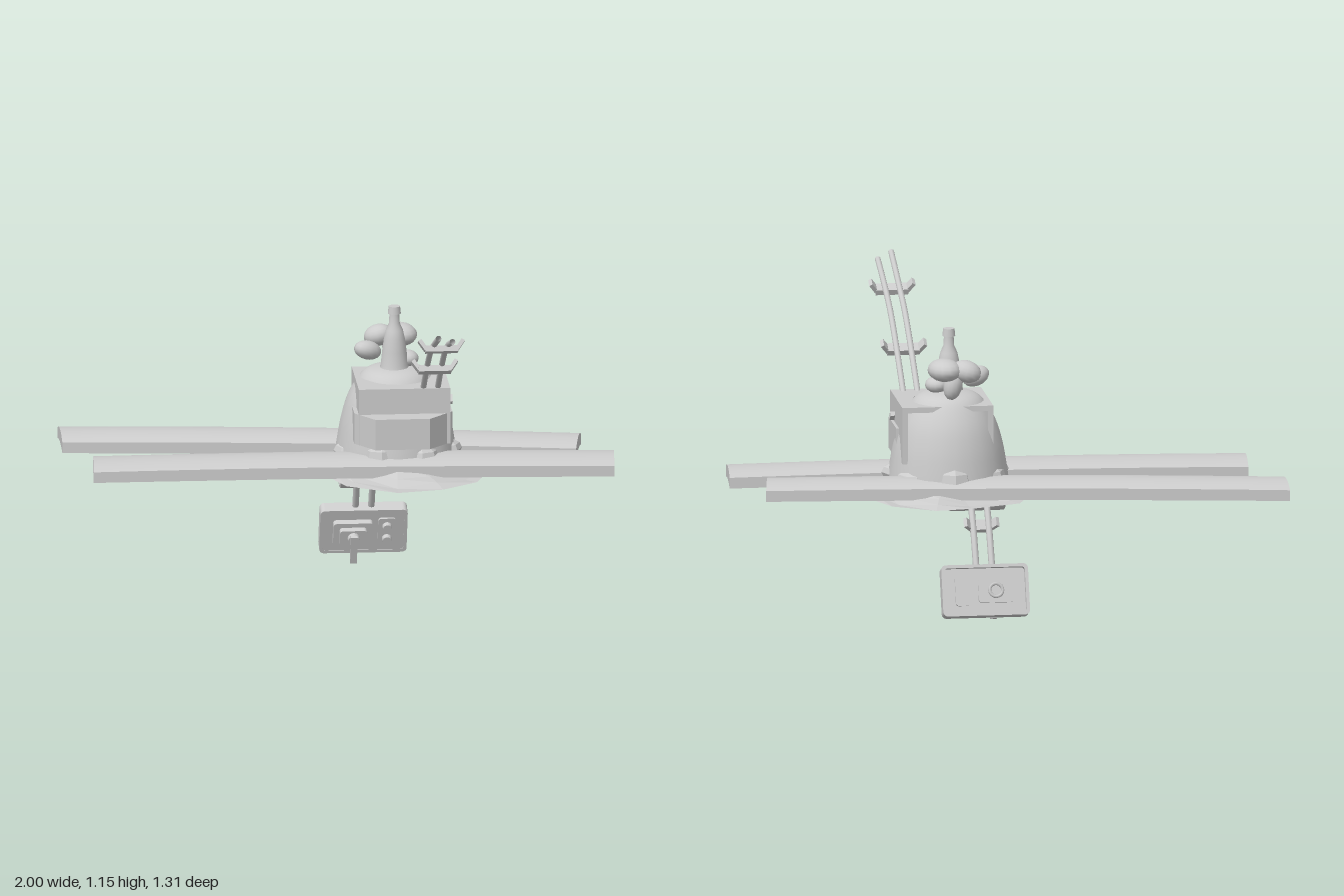
import * as THREE from 'three';

const mat = new THREE.MeshStandardMaterial({ color: 0xcccccc, side: THREE.DoubleSide });
const flat = new THREE.MeshStandardMaterial({ color: 0xcccccc, side: THREE.DoubleSide, flatShading: true });

export function createModel() {
  const model = new THREE.Group();
  const add = (name, geo, x = 0, y = 0, z = 0, parent = model, m = mat) => {
    const mesh = new THREE.Mesh(geo, m);
    mesh.name = name;
    mesh.position.set(x, y, z);
    parent.add(mesh);
    return mesh;
  };
  const box = (name, w, h, d, x, y, z, parent) => add(name, new THREE.BoxGeometry(w, h, d), x, y, z, parent);
  const pts2 = list => list.map(p => new THREE.Vector2(...p));
  const group = (name, x, y, z, rx) => {
    const g = new THREE.Group();
    g.name = name;
    g.position.set(x, y, z);
    g.rotation.x = rx;
    model.add(g);
    return g;
  };

  // Curved planks: a segmented box mapped onto four ground corners (back pair, front pair)
  const plank = (name, [bl, br, fl, fr]) => {
    const geo = new THREE.BoxGeometry(1, 1, 1, 10, 1, 8);
    const p = geo.attributes.position;
    const mix = THREE.MathUtils.lerp;
    for (let i = 0; i < p.count; i++) {
      const u = p.getX(i) + 0.5, v = p.getZ(i) + 0.5, top = p.getY(i) > 0;
      const arch = 0.022 * (1 - (2 * v - 1) ** 2) + 0.008 * (1 - (2 * u - 1) ** 2);
      const y = top ? 0.5 + arch : 0.46 + arch * 0.6;
      p.setXYZ(i, mix(mix(bl[0], br[0], u), mix(fl[0], fr[0], u), v), y,
        mix(mix(bl[1], br[1], u), mix(fl[1], fr[1], u), v));
    }
    geo.computeVertexNormals();
    add(name, geo);
  };
  plank('backPlank', [[-1, -0.66], [0.9, -0.415], [-1, -0.44], [0.865, -0.205]]);
  plank('frontPlank', [[-0.905, -0.23], [1, -0.165], [-0.92, -0.01], [0.985, 0.05]]);

  // Ragged skirt: rings blended from the body circle to an uneven rim
  const rim = [[0.57, -0.2], [0.48, 0.06], [0.35, 0.155], [0.18, 0.19], [0, 0.08], [-0.06, -0.07],
    [-0.115, -0.21], [-0.09, -0.36], [-0.02, -0.53], [0.165, -0.6], [0.3, -0.62], [0.45, -0.52], [0.53, -0.34]];
  const verts = [], index = [], n = rim.length, rings = 4;
  for (let r = 0; r <= rings; r++) rim.forEach(([x, z], i) => {
    const t = r / rings, a = Math.atan2(z + 0.24, x - 0.21);
    const bump = r > 0 && r < rings ? 0.008 * Math.sin(i * 2.4 + r) : 0;
    verts.push(THREE.MathUtils.lerp(0.21 + 0.18 * Math.cos(a), x, t),
      0.452 + 0.068 * (1 - t) ** 2 + bump,
      THREE.MathUtils.lerp(-0.24 + 0.18 * Math.sin(a), z, t));
    if (r < rings) {
      const j = (i + 1) % n, o = r * n;
      index.push(o + i, o + j, o + n + i, o + j, o + n + j, o + n + i);
    }
  });
  const skirt = new THREE.BufferGeometry();
  skirt.setAttribute('position', new THREE.Float32BufferAttribute(verts, 3));
  skirt.setIndex(index);
  skirt.computeVertexNormals();
  add('raggedSkirt', skirt, 0, 0, 0, model, flat);

  // Rounded body with a raised collar
  add('domedBody', new THREE.LatheGeometry(new THREE.SplineCurve(pts2([[0.225, 0.48], [0.215, 0.55], [0.2, 0.63],
    [0.175, 0.71], [0.135, 0.78], [0.1, 0.81], [0.05, 0.822], [0.001, 0.825]])).getPoints(28), 24), 0.205, 0, -0.24);
  for (let i = 0; i < 7; i++) {
    const a = i * 0.9 + 0.2;
    const lump = add('baseLump', new THREE.SphereGeometry(0.07, 8, 6), 0.21 + 0.17 * Math.cos(a), 0.515,
      -0.24 + 0.17 * Math.sin(a), model, flat);
    lump.scale.set(1, 0.55 + 0.2 * (i % 3), 1);
  }

  // Open-backed casing around the body
  box('casingFront', 0.335, 0.21, 0.02, 0.2225, 0.68, -0.045);
  for (const x of [0.065, 0.38]) box('casingSide', 0.02, 0.21, 0.33, x, 0.68, -0.2);
  const roof = new THREE.Shape(pts2([[0.055, 0.035], [0.39, 0.035], [0.39, 0.365], [0.055, 0.365]]));
  roof.holes.push(new THREE.Path().absarc(0.21, 0.215, 0.12, 0, Math.PI * 2, true));
  add('casingRoof', new THREE.ExtrudeGeometry(roof, { depth: 0.02, bevelEnabled: false }), 0, 0.765, 0)
    .rotation.x = -Math.PI / 2;

  // Chamfered band across the front of the casing
  const band = new THREE.Shape(pts2([[0.04, 0.27], [0.04, 0.06], [0.11, -0.04], [0.31, -0.04], [0.4, 0.06],
    [0.4, 0.27], [0.375, 0.27], [0.375, 0.04], [0.065, 0.04], [0.065, 0.27]]));
  add('frontBand', new THREE.ExtrudeGeometry(band, { depth: 0.115, bevelEnabled: false }), 0, 0.575, 0)
    .rotation.x = -Math.PI / 2;
  box('sidePeg', 0.02, 0.018, 0.032, 0.397, 0.712, -0.15).rotation.x = 0.7;

  // Bottle
  add('bottle', new THREE.LatheGeometry(pts2([[0.06, 0.8], [0.05, 0.83], [0.045, 0.88], [0.038, 0.93], [0.031, 0.96],
    [0.02, 0.985], [0.018, 1.02]]), 20), 0.2, 0, -0.225);
  add('bottleCap', new THREE.CylinderGeometry(0.021, 0.024, 0.028, 16), 0.2, 1.035, -0.225);

  // Cluster of leaf-like lobes: position, radii, turn
  for (const [x, y, z, a, b, c, ry, rz] of [
    [0.23, 0.915, -0.33, 0.06, 0.042, 0.072, 0.35, 0],
    [0.15, 0.91, -0.34, 0.055, 0.04, 0.05, -0.4, 0.3],
    [0.105, 0.875, -0.26, 0.055, 0.035, 0.04, 0.5, -0.3],
    [0.2, 0.86, -0.34, 0.035, 0.055, 0.035, 0, 0.2],
    [0.25, 0.845, -0.25, 0.04, 0.03, 0.045, 0.4, 0]]) {
    const lobe = add('lobe', new THREE.SphereGeometry(1, 14, 10), x, y, z);
    lobe.scale.set(a, b, c);
    lobe.rotation.set(0, ry, rz);
  }

  // Twin rods in front and behind
  const rod = (name, x, path, r) => add(name, new THREE.TubeGeometry(new THREE.CatmullRomCurve3(
    path.map(([z, y]) => new THREE.Vector3(x, y, z))), 20, r, 8), 0, 0, 0);
  const tips = [[0.645, 1.155], [0.62, 1.135]];
  [0.293, 0.346].forEach((x, i) => rod('upperRod', x,
    [tips[i], [0.435, 1.075], [0.28, 1.01], [0.125, 0.915], [-0.08, 0.765], [-0.15, 0.7]], 0.011));
  for (const x of [0.08, 0.138]) rod('lowerRod', x, [[-0.24, 0.52], [-0.34, 0.45], [-0.43, 0.345], [-0.51, 0.215]], 0.012);

  // Clips holding the rod pairs, with splayed prongs
  const clip = (x, y, z, rx, w) => {
    const g = group('rodClip', x, y, z, rx);
    box('clipBar', w, 0.022, 0.042, 0, -0.012, 0, g);
    for (const s of [-1, 1]) box('clipProng', 0.014, 0.042, 0.035, s * (w / 2 + 0.008), 0.004, 0, g).rotation.z = -s * 0.6;
  };
  clip(0.32, 1.07, 0.435, -0.45, 0.12);
  clip(0.32, 0.91, 0.125, -0.55, 0.12);
  clip(0.109, 0.355, -0.425, -0.9, 0.08);

  // Drum below the body
  const drum = add('underDrum', new THREE.CylinderGeometry(0.09, 0.09, 0.2, 24), 0.1, 0.457, -0.225);
  drum.rotation.z = Math.PI / 2;
  for (const x of [0.005, 0.195]) add('drumRim', new THREE.TorusGeometry(0.082, 0.008, 6, 24), x, 0.457, -0.225)
    .rotation.y = Math.PI / 2;
  box('drumBracket', 0.15, 0.04, 0.12, 0.27, 0.455, -0.225).rotation.z = 0.25;

  // Hanging control box, hollow at the back
  const panel = group('controlBox', 0.11, 0.13, -0.537, 0.37);
  const rounded = (path, w, h, r) => {
    path.moveTo(-w + r, -h);
    for (const [sx, sy, a] of [[1, -1, -0.5], [1, 1, 0], [-1, 1, 0.5], [-1, -1, 1]])
      path.absarc(sx * (w - r), sy * (h - r), r, a * Math.PI, (a + 0.5) * Math.PI, false);
    return path;
  };
  const rimShape = rounded(new THREE.Shape(), 0.16, 0.095, 0.018);
  rimShape.holes.push(rounded(new THREE.Path(), 0.148, 0.083, 0.012));
  add('boxRim', new THREE.ExtrudeGeometry(rimShape, { depth: 0.052, bevelEnabled: false }), 0, 0, -0.026, panel);
  add('boxPlate', new THREE.ExtrudeGeometry(rounded(new THREE.Shape(), 0.155, 0.09, 0.015),
    { depth: 0.03, bevelEnabled: false }), 0, 0, -0.006, panel);
  const slab = (name, w, h, d, x, y, z) => add(name, new THREE.ExtrudeGeometry(
    rounded(new THREE.Shape(), w / 2, h / 2, 0.012), { depth: d, bevelEnabled: false }), x, y, z, panel);
  slab('switchBase', 0.145, 0.105, 0.025, -0.04, 0, 0.024);
  slab('switchStep', 0.1, 0.07, 0.022, -0.04, 0, 0.049);
  add('leverPivot', new THREE.CylinderGeometry(0.022, 0.022, 0.025, 16), -0.04, 0.005, 0.08, panel).rotation.x = Math.PI / 2;
  box('lever', 0.025, 0.115, 0.014, -0.04, -0.03, 0.096, panel);
  slab('knobPlate', 0.065, 0.12, 0.008, 0.085, 0, 0.024);
  for (const y of [-0.027, 0.027])
    add('knob', new THREE.CylinderGeometry(0.016, 0.018, 0.02, 16), 0.085, y, 0.04, panel).rotation.x = Math.PI / 2;

  // Fittings inside the hollow back
  slab('rearSlot', 0.05, 0.11, 0.008, 0.085, 0, -0.014);
  slab('rearHousing', 0.13, 0.09, 0.008, -0.04, 0, -0.014);
  add('rearRing', new THREE.TorusGeometry(0.024, 0.006, 6, 20), -0.04, 0, -0.016, panel);

  return model;
}
